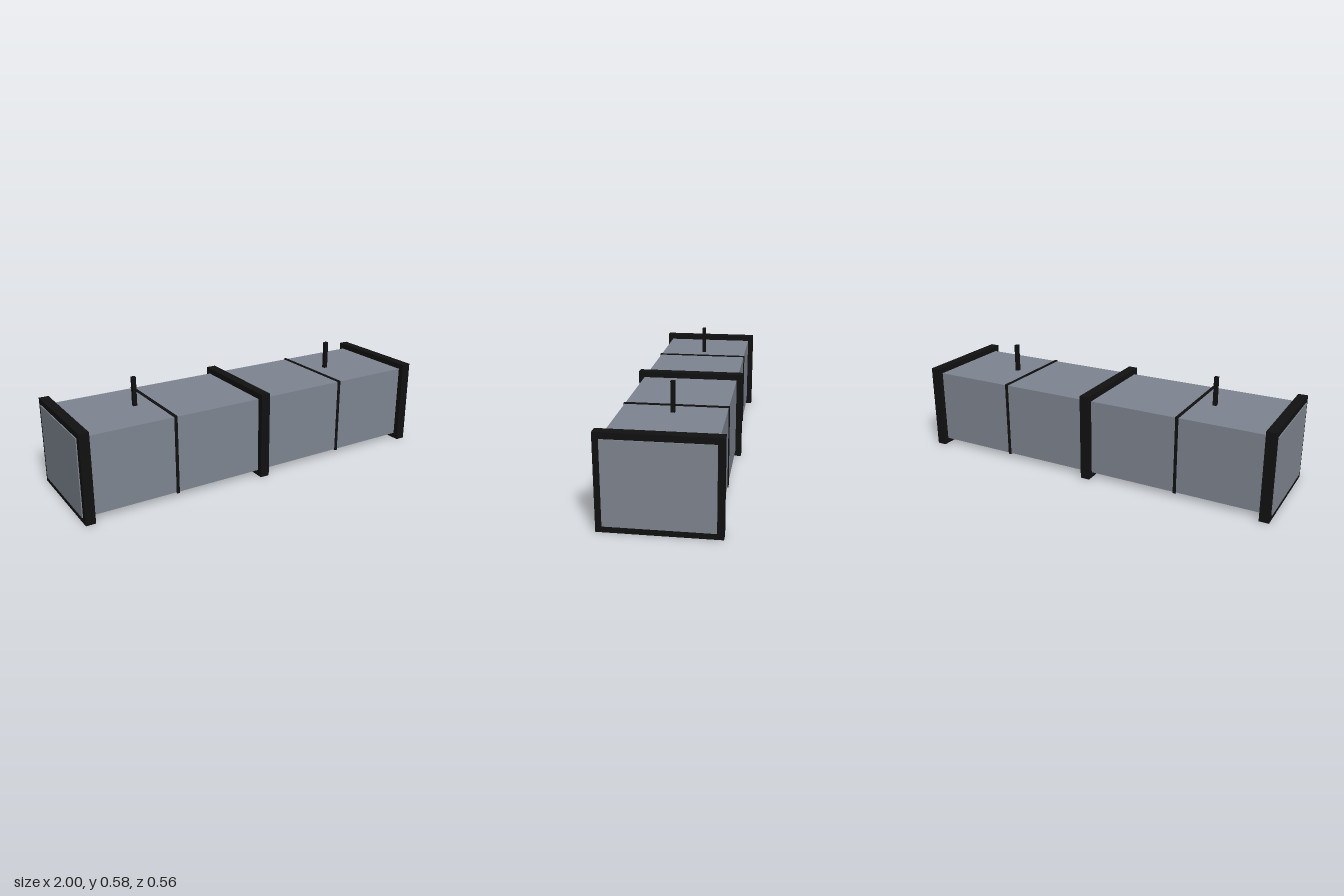
import * as THREE from 'three';

export function createModel() {
  const model = new THREE.Group();
  model.name = 'airDuct';

  const metal = new THREE.MeshStandardMaterial({ color: 0x7e8590 });
  metal.name = 'grey sheet metal';
  const black = new THREE.MeshStandardMaterial({ color: 0x111111 });
  black.name = 'black steel';

  const midY = 0.23;

  const addBox = (name, material, [w, h, d], [x, y, z]) => {
    const mesh = new THREE.Mesh(new THREE.BoxGeometry(w, h, d), material);
    mesh.name = name;
    mesh.position.set(x, y, z);
    model.add(mesh);
  };

  // Rectangular duct, its ends just proud of the end flanges
  addBox('ductBody', metal, [2, 0.4, 0.5], [0, midY, 0]);

  // Flanges at both ends and in the middle
  for (const x of [-0.97, 0, 0.97]) {
    addBox('flange', black, [0.05, 0.46, 0.56], [x, midY, 0]);
  }

  for (const side of [-1, 1]) {
    // Thin seam bands halfway along each section
    addBox('seamBand', black, [0.015, 0.41, 0.51], [side * 0.5, midY, 0]);
    // Hanger rods standing on the top face
    addBox('hangerRod', black, [0.02, 0.15, 0.02], [side * 0.6, 0.505, 0]);
  }

  return model;
}
